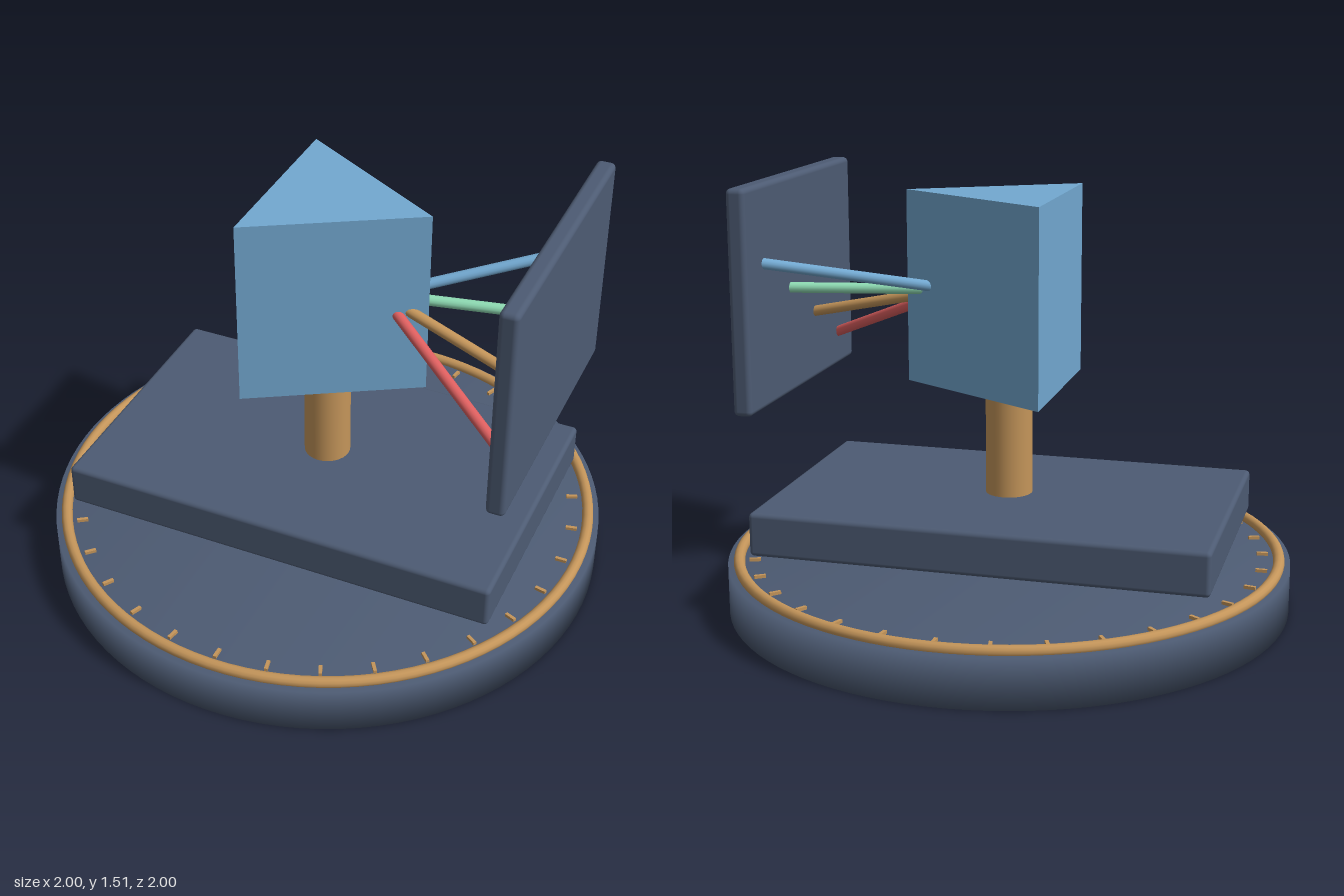
import * as THREE from 'three';
import { RoundedBoxGeometry } from 'three/addons/geometries/RoundedBoxGeometry.js';

const material = (name, color) => {
  const m = new THREE.MeshStandardMaterial({ color });
  m.name = name;
  return m;
};

export function createModel() {
  const slate = material('slate', 0x4d5b73);
  const bronze = material('bronze', 0xc4955a);
  const blue = material('blue', 0x72a8d0);
  const green = material('green', 0x8fdcb4);
  const red = material('red', 0xdd5f5f);

  const model = new THREE.Group();
  const add = (name, geometry, mat, x = 0, y = 0, z = 0, parent = model) => {
    const mesh = new THREE.Mesh(geometry, mat);
    mesh.name = name;
    mesh.position.set(x, y, z);
    parent.add(mesh);
    return mesh;
  };

  // Round base with softly shaded rim
  const profile = [[0, 0], [1, 0], [1, 0.172], [0, 0.172]].map(([x, y]) => new THREE.Vector2(x, y));
  add('base', new THREE.LatheGeometry(profile, 96), slate);

  // Ring around the dial
  const ring = new THREE.TorusGeometry(0.96, 0.02, 12, 96).rotateX(Math.PI / 2);
  add('dialRing', ring, bronze, 0, 0.18, 0);

  // Graduation marks
  const marks = new THREE.Group();
  marks.name = 'dialMarks';
  model.add(marks);
  const markGeometry = new THREE.BoxGeometry(0.04, 0.014, 0.012);
  for (let i = 0; i < 32; i++) {
    const a = (i / 32) * Math.PI * 2;
    const mark = add('dialMark', markGeometry, bronze, 0.905 * Math.cos(a), 0.176, -0.905 * Math.sin(a), marks);
    mark.rotation.y = a;
  }

  // Table slab, post and screen
  add('table', new RoundedBoxGeometry(1.595, 0.155, 0.97, 3, 0.016), slate, 0, 0.317, 0);
  add('post', new THREE.CylinderGeometry(0.083, 0.083, 0.41, 32), bronze, 0, 0.585, 0);
  add('screen', new RoundedBoxGeometry(0.066, 0.77, 1, 3, 0.018), slate, 0.797, 1.123, 0);

  // Triangular prism with one edge towards the screen
  const prism = new THREE.CylinderGeometry(0.37, 0.37, 0.682, 3, 1, false, Math.PI / 2).toNonIndexed();
  prism.computeVertexNormals();
  add('prism', prism, blue, 0, 1.119, 0);

  // Rays fanning from the prism to the screen
  const origin = new THREE.Vector3(0.2, 1.115, 0);
  const rays = [
    ['blueRay', blue, 1.24, -0.35],
    ['greenRay', green, 1.115, -0.115],
    ['bronzeRay', bronze, 0.985, 0.115],
    ['redRay', red, 0.86, 0.35],
  ];
  for (const [name, mat, y, z] of rays) {
    const path = new THREE.LineCurve3(origin, new THREE.Vector3(0.775, y, z));
    add(name, new THREE.TubeGeometry(path, 1, 0.019, 14), mat);
  }

  return model;
}
